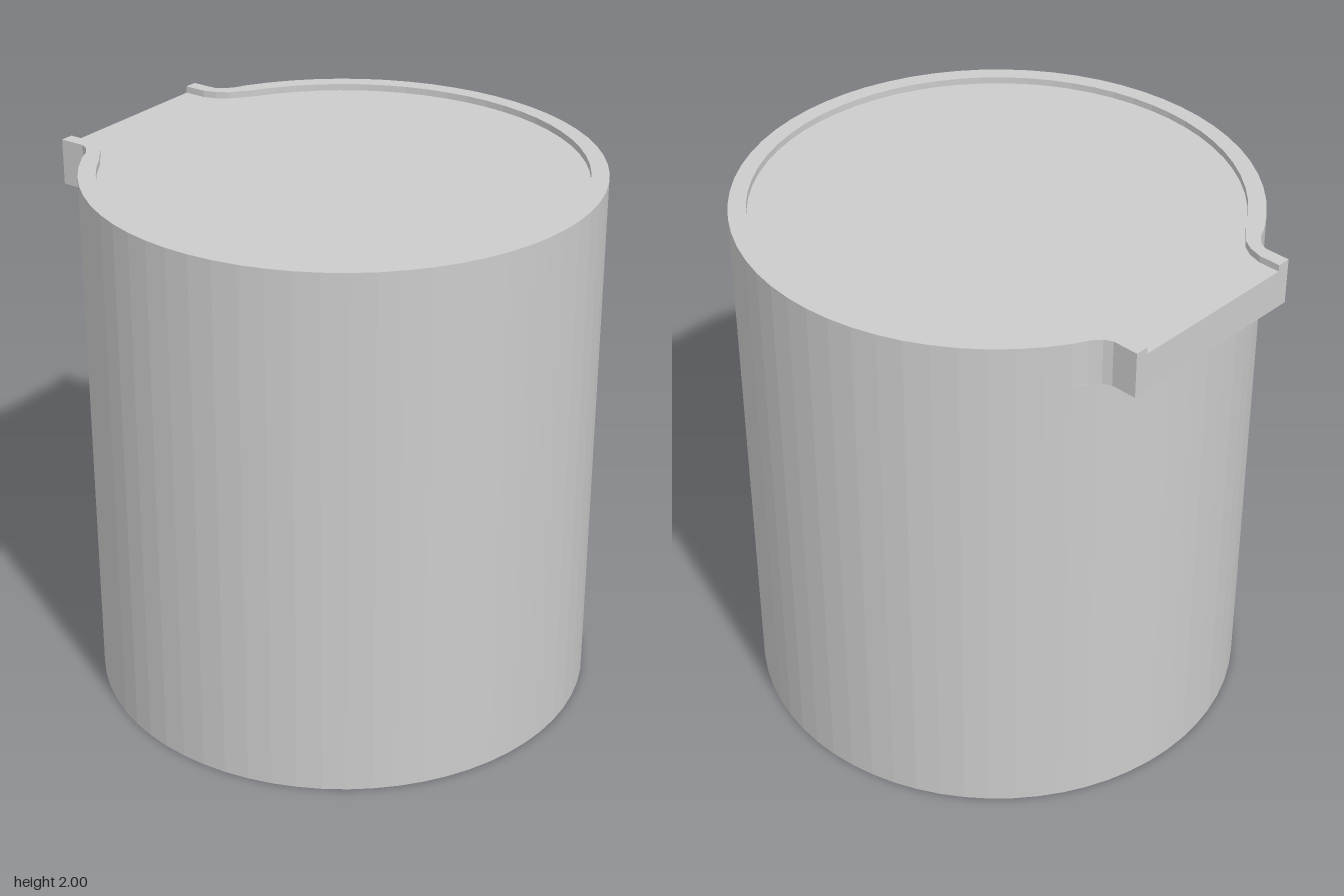
import * as THREE from 'three';

const STEP = Math.PI / 32;        // facet angle of the round wall
const CENTRE = -0.024;            // plan centre of the round wall (plan y = -z)
const SPOUT_Y = 1.83, FLOOR_Y = 1.975, TOP_Y = 2;

// points on a circle, running clockwise in plan from the back, in facet steps
function arc(radius, from, to) {
  const points = [];
  for (let i = from; i <= to; i++) {
    points.push(new THREE.Vector2(radius * Math.sin(i * STEP), CENTRE + radius * Math.cos(i * STEP)));
  }
  return points;
}

// round outline that opens into a flared spout, mirrored left to right
function spoutOutline(radius, lip) {
  const right = lip.map(([x, y]) => new THREE.Vector2(x, y));
  const left = lip.map(([x, y]) => new THREE.Vector2(-x, y)).reverse();
  return [...right, ...arc(radius, 5.5, 58.5), ...left];
}

// upright prism over a plan outline
function prism(name, points, bottom, top) {
  const geometry = new THREE.ExtrudeGeometry(new THREE.Shape(points), {
    depth: top - bottom, bevelEnabled: false,
  });
  geometry.rotateX(-Math.PI / 2);
  geometry.translate(0, bottom, 0);
  const mesh = new THREE.Mesh(geometry, new THREE.MeshStandardMaterial({ color: 0xcccccc, flatShading: true }));
  mesh.name = name;
  return mesh;
}

export function createModel() {
  const model = new THREE.Group();
  model.name = 'spoutedCylinder';

  const outer = spoutOutline(0.928, [[0.38, 0.952], [0.38, 0.855], [0.395, 0.825], [0.43, 0.795]]);
  const inner = spoutOutline(0.865, [[0.33, 0.952], [0.33, 0.87], [0.345, 0.82], [0.37, 0.78]]);

  // round body below the spout
  model.add(prism('body', arc(0.928, 0.5, 63.5), 0, SPOUT_Y));
  // upper body with the spout, up to the recessed top
  model.add(prism('spoutBody', outer, SPOUT_Y, FLOOR_Y));
  // thin raised rim, open at the spout
  model.add(prism('rim', [...outer, ...inner.slice().reverse()], FLOOR_Y, TOP_Y));

  return model;
}
